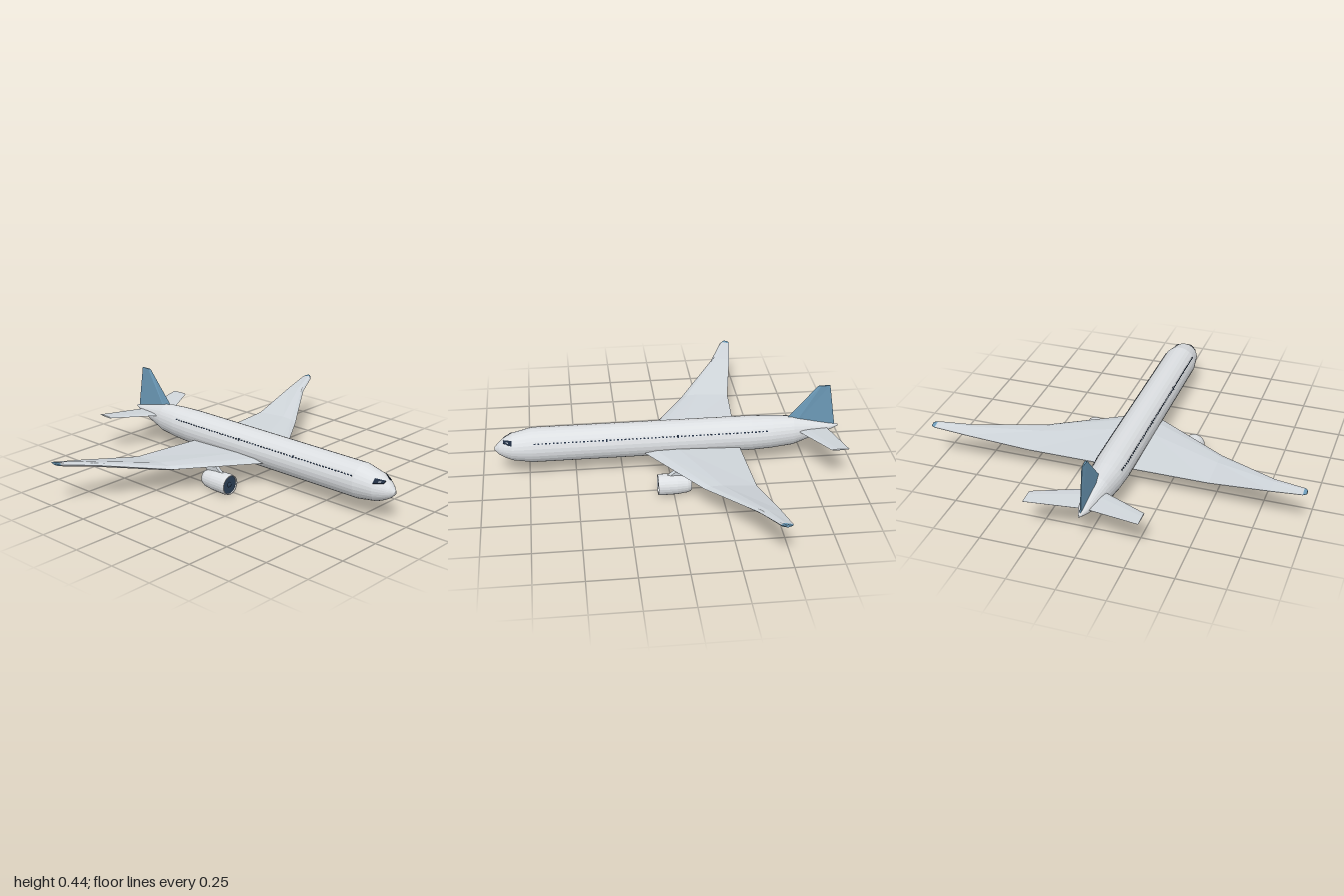
import * as THREE from 'three';

const mat = (name, color, extra = {}) => {
  const m = new THREE.MeshStandardMaterial({ color, ...extra });
  m.name = name;
  return m;
};
const V = (x, y, z) => new THREE.Vector3(x, y, z);

// Closed, flat-faceted skin over a row of rings with equal point counts
function loft(rings) {
  const tris = [];
  const n = rings[0].length;
  for (let i = 0; i < rings.length - 1; i++) {
    for (let j = 0; j < n; j++) {
      const k = (j + 1) % n;
      const [a, b, c, d] = [rings[i][j], rings[i][k], rings[i + 1][k], rings[i + 1][j]];
      tris.push([a, b, c], [a, c, d]);
    }
  }
  const first = rings[0], last = rings[rings.length - 1];
  for (let j = 1; j < n - 1; j++) {
    tris.push([first[0], first[j + 1], first[j]], [last[0], last[j], last[j + 1]]);
  }
  // Turn all faces outward, whichever way the rings run
  let volume = 0;
  for (const [a, b, c] of tris) volume += a.dot(b.clone().cross(c));
  const pos = [];
  for (const [a, b, c] of tris) {
    for (const p of volume > 0 ? [a, b, c] : [a, c, b]) pos.push(p.x, p.y, p.z);
  }
  const geo = new THREE.BufferGeometry();
  geo.setAttribute('position', new THREE.Float32BufferAttribute(pos, 3));
  geo.computeVertexNormals();
  return geo;
}

// Fuselage stations: z, centre y, half width, half height
const STATIONS = [
  [0.93, 0.163, 0.008, 0.008], [0.905, 0.164, 0.034, 0.034], [0.878, 0.167, 0.053, 0.053],
  [0.835, 0.17, 0.075, 0.073], [0.73, 0.175, 0.093, 0.094], [-0.45, 0.175, 0.093, 0.094],
  [-0.56, 0.176, 0.086, 0.09], [-0.68, 0.178, 0.069, 0.081], [-0.87, 0.19, 0.027, 0.023],
  [-0.93, 0.195, 0.005, 0.006],
];

// Point on the fuselage at z, with the angle measured from the top
function skin(z, angle, lift = 0) {
  let i = 0;
  while (i < STATIONS.length - 2 && z < STATIONS[i + 1][0]) i++;
  const a = STATIONS[i], b = STATIONS[i + 1];
  const t = (z - a[0]) / (b[0] - a[0]);
  const [cy, rx, ry] = [1, 2, 3].map((k) => a[k] + (b[k] - a[k]) * t);
  return V(Math.sin(angle) * (rx + lift), cy + Math.cos(angle) * (ry + lift), z);
}

// Airfoil outline as [chord fraction, height fraction]
const FOIL = [[0, 0], [0.12, 0.4], [0.35, 0.5], [1, 0.08], [1, -0.02], [0.35, -0.5], [0.12, -0.4]];

// Ring for a wing at x; thickness runs up
const wingRing = (s) => ([x, lead, trail, y, t]) =>
  FOIL.map(([c, h]) => V(s * x, y + h * t, lead + (trail - lead) * c));

const WING = [
  [0.0, 0.19, -0.375, 0.131, 0.032], [0.09, 0.13, -0.38, 0.133, 0.032],
  [0.49, -0.13, -0.4, 0.147, 0.03], [0.82, -0.35, -0.46, 0.209, 0.026],
  [0.982, -0.425, -0.484, 0.239, 0.022],
];
const WING_TIP = [WING[4], [1.0, -0.445, -0.478, 0.244, 0.016]];
const TAILPLANE = [[0.0, -0.675, -0.86, 0.192, 0.014], [0.294, -0.83, -0.925, 0.213, 0.008]];

export function createModel() {
  const model = new THREE.Group();
  model.name = 'airliner';
  const white = mat('fuselage white', 0xdcdfe2, { flatShading: true });
  const grey = mat('wing grey', 0xd0d6db, { flatShading: true });
  const blue = mat('accent blue', 0x6c9ab8, { flatShading: true });
  const navy = mat('dark navy', 0x2c4058, { side: THREE.DoubleSide });
  const glass = mat('window glass', 0x1e2c40, { side: THREE.DoubleSide });

  const add = (name, geo, material, parent = model) => {
    const mesh = new THREE.Mesh(geo, material);
    mesh.name = name;
    parent.add(mesh);
    return mesh;
  };

  // Fuselage
  const SIDES = 28;
  add('fuselage', loft(STATIONS.map(([z]) =>
    Array.from({ length: SIDES }, (_, j) => skin(z, (j / SIDES) * Math.PI * 2)))), white);

  // Fin
  const finRing = ([y, lead, trail, t]) => [[0, 0], [0.25, 0.5], [1, 0.15], [1, -0.15], [0.25, -0.5]]
    .map(([c, h]) => V(h * t, y, lead + (trail - lead) * c));
  add('fin', loft([[0.2, -0.6, -0.912, 0.02], [0.44, -0.81, -0.875, 0.01]].map(finRing)), blue);

  // Engine outlines: radius, position along the axis
  const lathe = (pts, seg = 24) =>
    new THREE.LatheGeometry(pts.map(([r, z]) => new THREE.Vector2(r, z)), seg).rotateX(Math.PI / 2);
  const nacelle = lathe([[0.036, -0.07], [0.039, -0.09], [0.048, -0.07], [0.055, -0.015],
    [0.056, 0.065], [0.053, 0.085], [0.049, 0.085], [0.048, 0.07]]);
  const nozzle = lathe([[0, -0.078], [0.026, -0.092], [0.029, -0.092], [0.03, -0.075], [0.038, -0.075]]);
  const spinner = lathe([[0.014, 0.077], [0.01, 0.083], [0, 0.085]], 16);

  for (const s of [1, -1]) {
    const side = s > 0 ? 'left' : 'right';
    add(side + 'Wing', loft(WING.map(wingRing(s))), grey);
    add(side + 'WingTip', loft(WING_TIP.map(wingRing(s))), blue);
    add(side + 'Tailplane', loft(TAILPLANE.map(wingRing(s))), grey);

    // Engine with fan, nozzle and pylon
    const engine = new THREE.Group();
    engine.name = side + 'Engine';
    engine.position.set(s * 0.285, 0.057, 0);
    model.add(engine);
    add('nacelle', nacelle, white, engine);
    add('fan', new THREE.CircleGeometry(0.05, 24).translate(0, 0, 0.077), navy, engine);
    add('spinner', spinner, navy, engine);
    add('exhaustNozzle', nozzle, blue, engine);
    add('exhaustPlug', lathe([[0, -0.098], [0.016, -0.085]], 16), white, engine);
    const pylonRing = (y, front, back) => [V(0, y, front), V(0.008, y, front - 0.02),
      V(0.006, y, back), V(-0.006, y, back), V(-0.008, y, front - 0.02)];
    add('pylon', loft([pylonRing(0.045, 0.05, -0.08), pylonRing(0.085, 0.0, -0.13)]), grey, engine);

    // Cabin windows, with a taller pane at the exits
    const cabin = new THREE.Group();
    cabin.name = side + 'CabinWindows';
    model.add(cabin);
    const angle = THREE.MathUtils.degToRad(60) * s;
    const pane = new THREE.BoxGeometry(0.007, 0.004, 0.009);
    for (let i = 0; i <= 62; i++) {
      const z = 0.715 - i * 0.02;
      const w = add('cabinWindow', pane, glass, cabin);
      w.position.copy(skin(z, angle));
      w.rotation.z = -angle;
      if (i === 19 || i === 38) w.scale.x = 2;
    }

    // Cockpit window lying on the nose
    const deg = (d) => THREE.MathUtils.degToRad(d) * s;
    const quad = [[0.88, 16], [0.88, 38], [0.836, 60], [0.836, 37]];
    const rings = [0.0, 0.004].map((lift) => quad.map(([z, d]) => skin(z, deg(d), lift)));
    add(side + 'CockpitWindow', loft(rings), glass);
  }
  return model;
}
